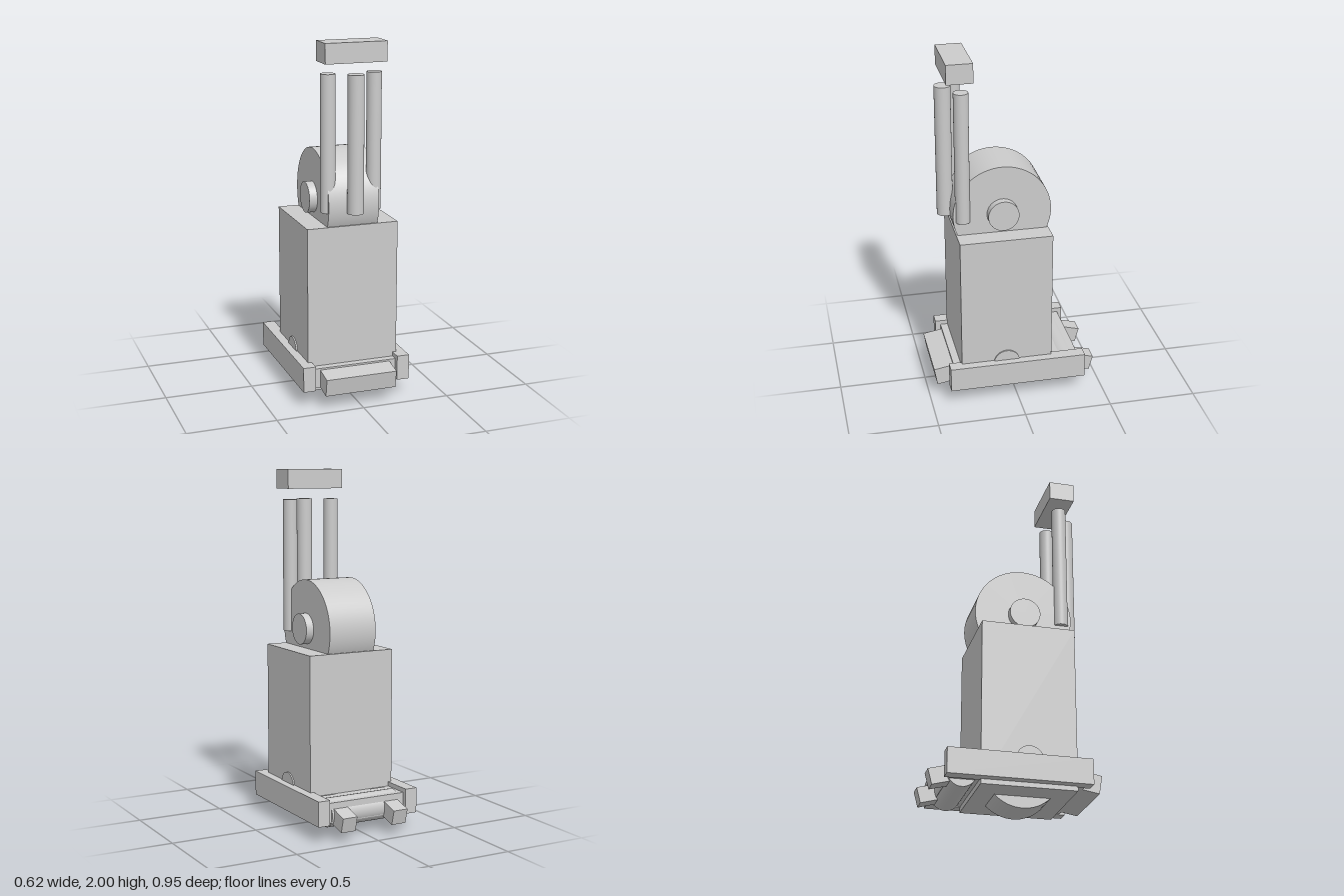
import * as THREE from 'three';

export function createModel() {
  const model = new THREE.Group();
  const material = new THREE.MeshStandardMaterial({ color: 0xcccccc });

  function add(name, geometry, x, y, z) {
    const mesh = new THREE.Mesh(geometry, material);
    mesh.name = name;
    mesh.position.set(x, y, z);
    model.add(mesh);
    return mesh;
  }

  // box given by its extents on each axis
  function box(name, [x0, x1], [y0, y1], [z0, z1]) {
    return add(name, new THREE.BoxGeometry(x1 - x0, y1 - y0, z1 - z0),
      (x0 + x1) / 2, (y0 + y1) / 2, (z0 + z1) / 2);
  }

  // cylinder lying along x, centred on x = 0
  function roller(name, radius, width, y, z) {
    const geometry = new THREE.CylinderGeometry(radius, radius, width, 64);
    geometry.rotateZ(Math.PI / 2);
    return add(name, geometry, 0, y, z);
  }

  // Main tower
  box('body', [-0.262, 0.262], [0.064, 0.997], [-0.205, 0.319]);

  // Upper drum with its axle
  roller('upperDrum', 0.277, 0.29, 1.11, 0.058);
  roller('upperAxle', 0.087, 0.38, 1.11, 0.058);

  // Lower drum and axle showing under and beside the body
  roller('lowerDrum', 0.217, 0.21, 0.217, 0.058);
  roller('lowerAxle', 0.075, 0.54, 0.217, 0.058);

  // Base plate and side rails
  box('basePlate', [-0.241, 0.241], [0.095, 0.207], [-0.366, 0.362]);
  for (const side of [-1, 1]) {
    const rail = box('sideRail', [0.241, 0.312], [0.09, 0.232], [-0.394, 0.392]);
    rail.position.x *= side;
  }

  // Tilted front lip
  const lip = add('frontLip', new THREE.BoxGeometry(0.41, 0.102, 0.13), 0, 0.139, 0.4);
  lip.rotation.x = 0.17;

  // Rear roller and the two sloping rear prongs
  roller('rearRoller', 0.08, 0.434, 0.135, -0.295);
  for (const side of [-1, 1]) {
    const prong = add('rearProng', new THREE.BoxGeometry(0.088, 0.088, 0.26), side * 0.16, 0.134, -0.336);
    prong.rotation.x = -0.26;
  }

  // Three upright rods, the middle one thicker and further forward
  for (const [x, z, radius] of [[-0.132, 0.279, 0.041], [0, 0.356, 0.045], [0.132, 0.279, 0.041]]) {
    add('uprightRod', new THREE.CylinderGeometry(radius, radius, 0.755, 40), x, 1.452, z);
  }

  // Block floating above the rods
  box('topBlock', [-0.174, 0.174], [1.89, 2], [0.217, 0.363]);

  return model;
}
